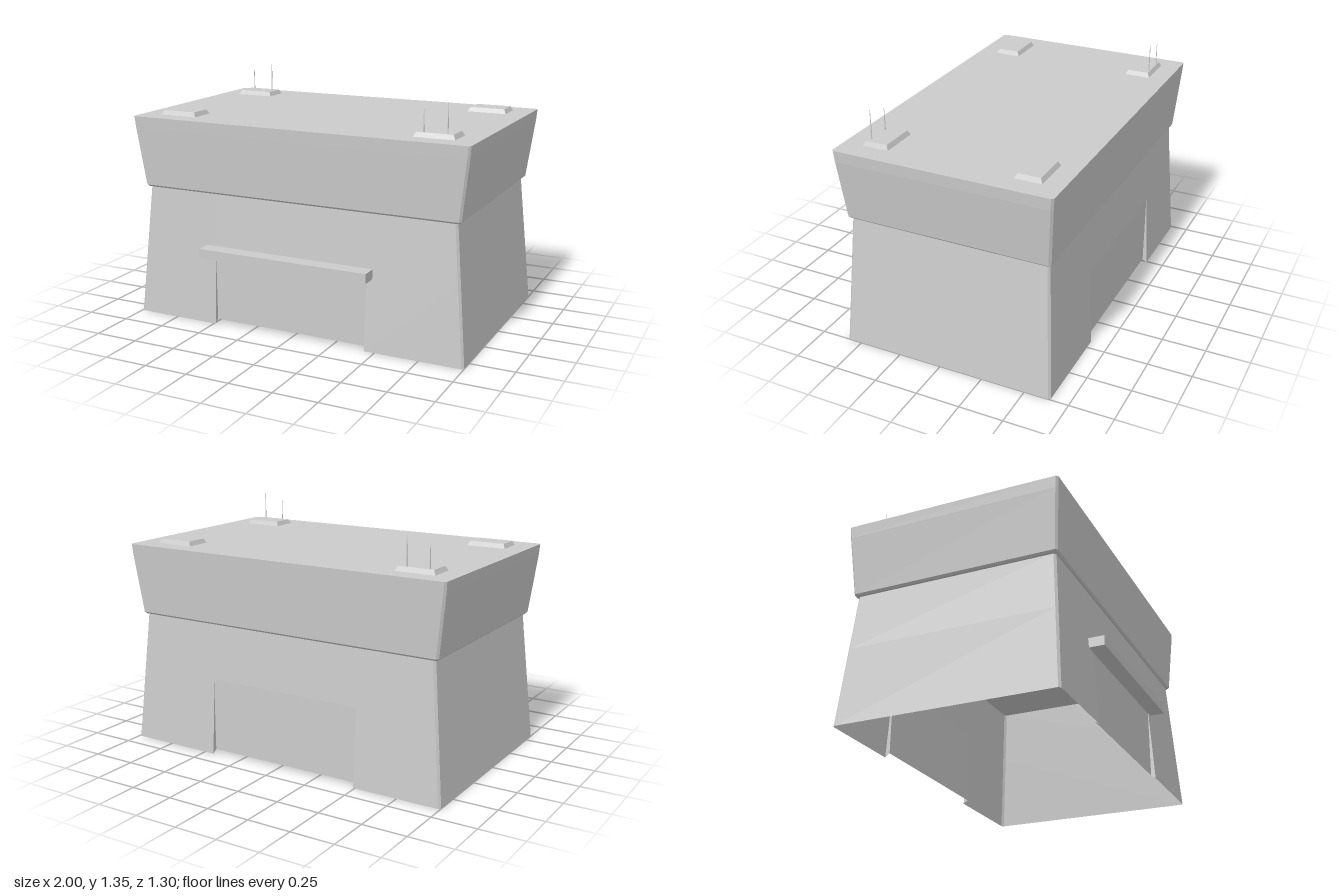
import * as THREE from 'three';

const grey = new THREE.MeshStandardMaterial({ color: 0xcccccc, flatShading: true });
const greyThin = new THREE.MeshStandardMaterial({ color: 0xcccccc, flatShading: true, side: THREE.DoubleSide });

// Doorway: left and right edges, height where it meets the sloping wall, and panel bottom
const DOOR = { x0: -0.49, x1: 0.44, top: 0.44, bottom: 0.02 };

// Rectangular ring with clipped corners, starting at the front; doors = [frontZ, backZ] adds recesses
function ring(y, x0, x1, zBack, zFront, clip, doors) {
  const c = clip;
  const recess = (zWall, zPanel, a, b) => {
    if (!doors) return [];
    const py = Math.max(y, DOOR.bottom);
    return [[a, y, zWall], [a, py, zPanel], [b, py, zPanel], [b, y, zWall]];
  };
  return [
    [x0 + c, y, zFront],
    ...recess(zFront, doors?.[0], DOOR.x0, DOOR.x1),
    [x1 - c, y, zFront], [x1, y, zFront - c], [x1, y, zBack + c], [x1 - c, y, zBack],
    ...recess(zBack, doors?.[1], DOOR.x1, DOOR.x0),
    [x0 + c, y, zBack], [x0, y, zBack + c], [x0, y, zFront - c],
  ];
}

// Skin a stack of rings, optionally closing both ends
function loft(rings, capped) {
  const pos = [];
  const tri = (a, b, c) => pos.push(...a, ...b, ...c);
  const n = rings[0].length;
  for (let r = 0; r < rings.length - 1; r++) {
    const lo = rings[r], hi = rings[r + 1];
    for (let i = 0; i < n; i++) {
      const j = (i + 1) % n;
      tri(lo[i], lo[j], hi[j]);
      tri(lo[i], hi[j], hi[i]);
    }
  }
  if (capped) {
    const bottom = rings[0], top = rings[rings.length - 1];
    for (let i = 1; i < n - 1; i++) {
      tri(top[0], top[i], top[i + 1]);
      tri(bottom[0], bottom[i + 1], bottom[i]);
    }
  }
  const geo = new THREE.BufferGeometry();
  geo.setAttribute('position', new THREE.Float32BufferAttribute(pos, 3));
  geo.computeVertexNormals();
  return geo;
}

export function createModel() {
  const group = new THREE.Group();
  const add = (name, geo, mat = grey) => {
    const mesh = new THREE.Mesh(geo, mat);
    mesh.name = name;
    group.add(mesh);
    return mesh;
  };

  // Lower walls: open underneath, tapering upward, with a vertical door panel front and back
  const wallTop = 0.76;
  const wallRing = (y, doorsAtWall) => {
    const t = y / wallTop;
    const x = 1 - 0.07 * t, zb = -0.648 + 0.045 * t, zf = 0.588 - 0.045 * t;
    const k = DOOR.top / wallTop;
    const panels = doorsAtWall ? [zf, zb] : [0.588 - 0.045 * k, -0.648 + 0.045 * k];
    return ring(y, -x, x, zb, zf, 0.012, panels);
  };
  add('lowerWalls', loft([wallRing(0, false), wallRing(DOOR.top, true), wallRing(wallTop, true)], false), greyThin);

  // Upper parapet block: flares outward, then a short upright band
  add('upperBlock', loft([
    ring(0.757, -0.943, 0.943, -0.61, 0.552, 0.012),
    ring(0.767, -0.953, 0.953, -0.618, 0.56, 0.012),
    ring(1.1, -0.995, 0.995, -0.643, 0.584, 0.012),
    ring(1.165, -1, 1, -0.648, 0.588, 0.012),
  ], true));

  // Awning bar over the front door
  const bar = add('doorAwning', new THREE.BoxGeometry(1.02, 0.054, 0.1));
  bar.position.set(-0.035, 0.43, 0.6);

  // Four bevelled roof pads
  for (const [side, x] of [['right', -0.888], ['left', 0.652]]) {
    for (const [end, z] of [['Back', -0.538], ['Front', 0.324]]) {
      const w = 0.23, d = 0.152, b = 0.014;
      add(`${side}${end}RoofPad`, loft([
        ring(1.163, x, x + w, z, z + d, 0),
        ring(1.19, x + b, x + w - b, z + b, z + d - b, 0),
      ], true));
    }
  }

  // Thin antennas on two opposite pads
  for (const [x, z, top] of [[-0.847, -0.515, 1.31], [-0.717, -0.515, 1.35], [0.703, 0.45, 1.31], [0.833, 0.45, 1.35]]) {
    const h = top - 1.185;
    add('antenna', new THREE.CylinderGeometry(0.0015, 0.0035, h, 6)).position.set(x, 1.185 + h / 2, z);
  }

  return group;
}
